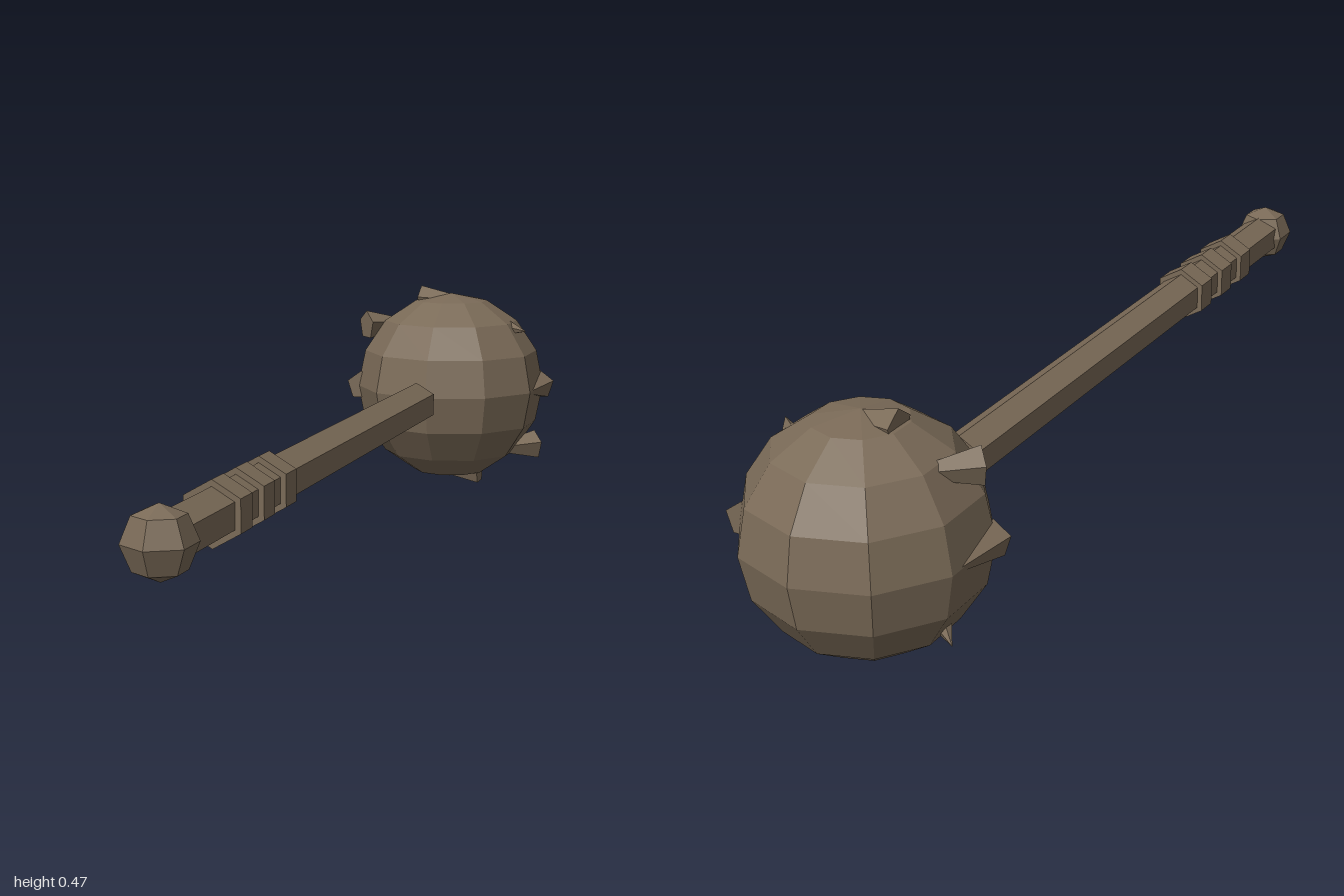
import * as THREE from 'three';

const AXIS_Y = 0.2355;
const HEAD_Z = -0.7765;

export function createModel() {
  const model = new THREE.Group();
  model.name = 'spikedMace';
  const wood = new THREE.MeshStandardMaterial({ color: 0x7a6a57, flatShading: true });
  wood.name = 'dull brown';

  function add(name, geometry, x, y, z) {
    const mesh = new THREE.Mesh(geometry, wood);
    mesh.name = name;
    mesh.position.set(x, y, z);
    model.add(mesh);
    return mesh;
  }

  // Hexagonal rod lying along z, with an edge on top
  function rod(name, radius, length, z) {
    const geometry = new THREE.CylinderGeometry(radius, radius, length, 6).rotateX(Math.PI / 2);
    return add(name, geometry, 0, AXIS_Y, z);
  }

  // Faceted ball with a corner facing the front
  function ball(name, radius, around, down, z) {
    const geometry = new THREE.SphereGeometry(radius, around, down).rotateY(Math.PI / 2);
    return add(name, geometry, 0, AXIS_Y, z);
  }

  // Handle, grip rings and pommel
  rod('handle', 0.0475, 1.416, 0.228);
  [0.7, 0.593, 0.485].forEach((z, i) => rod(`gripRing${i + 1}`, 0.0595, 0.053, z));
  ball('pommel', 0.0637, 6, 4, 0.9363);

  // Head
  ball('head', 0.2235, 10, 8, HEAD_Z);

  // Eight spikes around the head, each lying flat and turned with its angle
  const spikeRing = 0.204;
  const spike = new THREE.ConeGeometry(0.0355, 0.15, 5, 1, false, Math.PI);
  for (let i = 0; i < 8; i++) {
    const angle = (i * Math.PI) / 4;
    const mesh = add(`spike${i + 1}`, spike,
      spikeRing * Math.cos(angle), AXIS_Y + spikeRing * Math.sin(angle), HEAD_Z);
    mesh.rotation.set(Math.PI / 2, 0, -angle);
  }

  return model;
}
